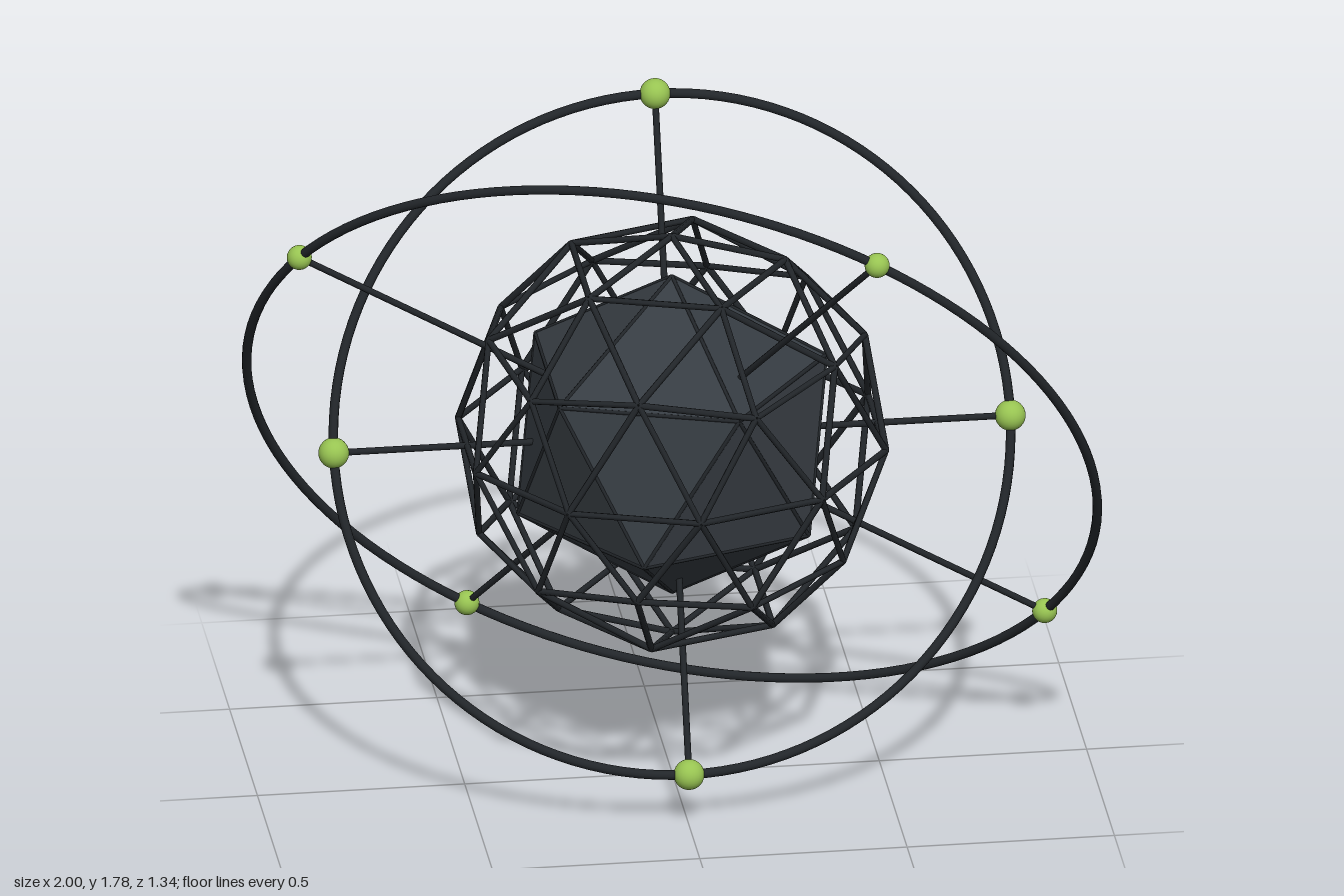
import * as THREE from 'three';
import { ConvexGeometry } from 'three/addons/geometries/ConvexGeometry.js';
import { mergeGeometries } from 'three/addons/utils/BufferGeometryUtils.js';

const UP = new THREE.Vector3(0, 1, 0);
const V = (x, y, z) => new THREE.Vector3(x, y, z);

// Unit icosahedron with a corner at the top and one upper corner over +x
function icosahedronPoints() {
  const points = [V(0, 1, 0), V(0, -1, 0)];
  const h = 1 / Math.sqrt(5), r = 2 / Math.sqrt(5);
  for (let i = 0; i < 5; i++) {
    const a = (i * Math.PI * 2) / 5, b = a + Math.PI / 5;
    points.push(V(r * Math.cos(a), h, r * Math.sin(a)));
    points.push(V(r * Math.cos(b), -h, r * Math.sin(b)));
  }
  return points;
}

// All pairs of points closer than a limit
function edgesOf(points, limit) {
  const edges = [];
  points.forEach((a, i) => points.slice(i + 1).forEach((b) => {
    if (a.distanceTo(b) < limit) edges.push([a, b]);
  }));
  return edges;
}

// Thin round bar between two points
function bar(a, b, radius, sides = 8) {
  const dir = b.clone().sub(a);
  const geo = new THREE.CylinderGeometry(radius, radius, dir.length(), sides);
  geo.applyQuaternion(new THREE.Quaternion().setFromUnitVectors(UP, dir.clone().normalize()));
  const mid = a.clone().add(b).multiplyScalar(0.5);
  return geo.translate(mid.x, mid.y, mid.z);
}

// Bars along every edge, scaled out to a given size
function lattice(edges, size, radius) {
  return mergeGeometries(edges.map(([a, b]) =>
    bar(a.clone().multiplyScalar(size), b.clone().multiplyScalar(size), radius, 6)));
}

export function createModel() {
  const coreMat = new THREE.MeshStandardMaterial({ color: 0x363c42 });
  coreMat.name = 'slate';
  coreMat.flatShading = true;
  const frameMat = new THREE.MeshStandardMaterial({ color: 0x22262a });
  frameMat.name = 'charcoal';
  const nodeMat = new THREE.MeshStandardMaterial({ color: 0x98c452 });
  nodeMat.name = 'leaf green';

  const model = new THREE.Group();
  model.name = 'orbitalSculpture';
  const body = new THREE.Group();
  body.name = 'body';
  body.position.y = 0.892;
  model.add(body);

  const add = (parent, name, geo, mat) => {
    const mesh = new THREE.Mesh(geo, mat);
    mesh.name = name;
    parent.add(mesh);
    return mesh;
  };

  // Faceted core with dark seams along its edges
  const ico = icosahedronPoints();
  const icoEdges = edgesOf(ico, 1.1);
  add(body, 'core', new ConvexGeometry(ico.map((p) => p.clone().multiplyScalar(0.417))), coreMat);
  add(body, 'coreSeams', lattice(icoEdges, 0.415, 0.005), frameMat);

  // Open geodesic cage: each icosahedron edge split once and pushed outwards
  const mids = icoEdges.map(([a, b]) => a.clone().add(b).normalize());
  add(body, 'cage', lattice(edgesOf([...ico, ...mids], 0.7), 0.52, 0.008), frameMat);

  // Orbit ring with four spokes and four round nodes
  function orbit(name, radius, nodeRadius, rx, rz) {
    const group = new THREE.Group();
    group.name = name;
    group.rotation.set(rx, 0, rz, 'ZYX');
    add(group, 'ring', new THREE.TorusGeometry(radius, 0.0115, 10, 128), frameMat);
    for (let i = 0; i < 4; i++) {
      const a = (i * Math.PI) / 2;
      const dir = V(Math.cos(a), Math.sin(a), 0);
      const end = dir.clone().multiplyScalar(radius);
      add(group, 'spoke', bar(dir.clone().multiplyScalar(0.33), end, 0.008), frameMat);
      add(group, 'node', new THREE.SphereGeometry(nodeRadius, 24, 16), nodeMat).position.copy(end);
    }
    body.add(group);
  }
  const deg = Math.PI / 180;
  orbit('innerOrbit', 0.816, 0.037, -22 * deg, 0);
  orbit('outerOrbit', 1.038, 0.03, 38 * deg, -30 * deg);

  return model;
}
